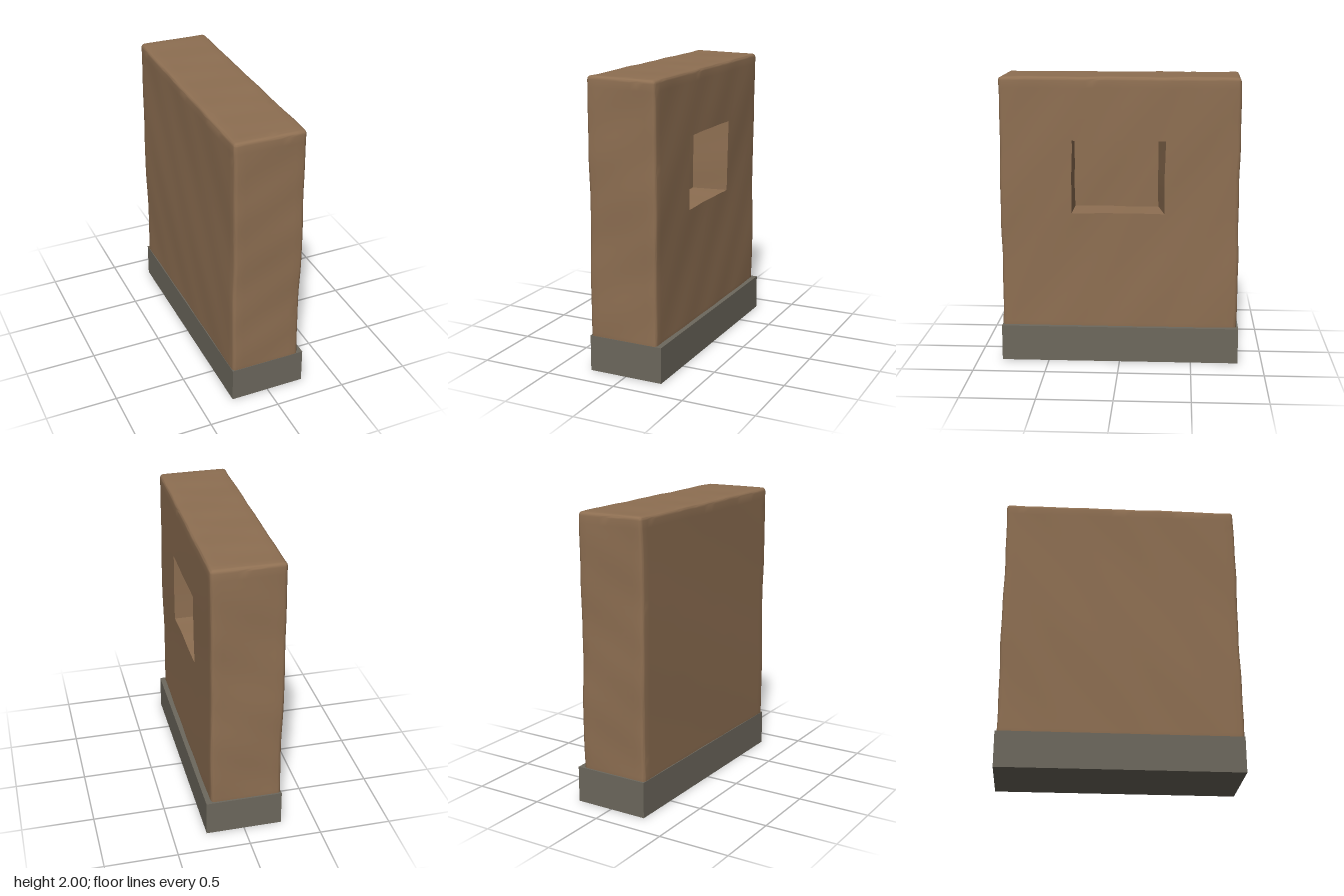
import * as THREE from 'three';
import { toCreasedNormals } from 'three/addons/utils/BufferGeometryUtils.js';

const earth = new THREE.MeshStandardMaterial({ color: 0x8e6f52 });
earth.name = 'earth brown';
const stone = new THREE.MeshStandardMaterial({ color: 0x6d685d });
stone.name = 'stone grey';

const MIN = new THREE.Vector3(-0.261, 0.2, -0.819);
const MAX = new THREE.Vector3(0.229, 1.996, 0.826);
const ROUND = 0.025;
const NICHE = { y: [1.06, 1.565], z: [-0.31, 0.33], depth: 0.25 };

// Evenly spaced values from a to b, both included
const span = (a, b, n) => Array.from({ length: n + 1 }, (_, i) => a + (b - a) * i / n);

// Grid lines between two edges, packed near the edges for rounding;
// the ends of the niche appear twice so its walls can fold inward
function gridLines(lo, hi, opening, step = 0.05) {
  const a = lo + ROUND, b = hi - ROUND;
  const count = (p, q) => Math.max(1, Math.round((q - p) / step));
  const middle = opening
    ? [
      ...span(a, opening[0], count(a, opening[0])),
      ...span(opening[0], opening[1], count(...opening)),
      ...span(opening[1], b, count(opening[1], b)),
    ]
    : span(a, b, count(a, b));
  const edge = [0, 0.3, 0.6].map((t) => t * ROUND);
  return [...edge.map((e) => lo + e), ...middle, ...edge.reverse().map((e) => hi - e)];
}

// Gentle hand-made unevenness
function wobble(p) {
  const { x, y, z } = p;
  p.x += 0.003 * Math.sin(4.5 * y - 5.5 + 2 * z) + 0.0015 * Math.sin(13 * z + 9 * y);
  p.y += 0.0015 * Math.sin(11 * z + 7 * x) + 0.001 * Math.sin(23 * z - 5 * x);
  p.z += 0.003 * Math.sin(6 * y + 5 * x) + 0.0015 * Math.sin(17 * y - 9 * x);
}

function wallGeometry() {
  const xs = gridLines(MIN.x, MAX.x);
  const ys = gridLines(MIN.y, MAX.y, NICHE.y);
  const zs = gridLines(MIN.z, MAX.z, NICHE.z);
  const nx = xs.length - 1, ny = ys.length - 1, nz = zs.length - 1;
  const geo = new THREE.BoxGeometry(1, 1, 1, nx, ny, nz);
  const pos = geo.attributes.position;
  const innerMin = MIN.clone().addScalar(ROUND);
  const innerMax = MAX.clone().subScalar(ROUND);
  const inside = (i, lines, [a, b]) => i > lines.indexOf(a) && i < lines.lastIndexOf(b);
  const p = new THREE.Vector3(), core = new THREE.Vector3();

  for (let v = 0; v < pos.count; v++) {
    const i = Math.round((pos.getX(v) + 0.5) * nx);
    const j = Math.round((pos.getY(v) + 0.5) * ny);
    const k = Math.round((pos.getZ(v) + 0.5) * nz);
    p.set(xs[i], ys[j], zs[k]);

    // Push the niche into the +x face, or round the outer edges
    if (i === nx && inside(j, ys, NICHE.y) && inside(k, zs, NICHE.z)) {
      p.x -= NICHE.depth;
    } else {
      core.copy(p).clamp(innerMin, innerMax);
      p.sub(core).setLength(ROUND).add(core);
    }
    wobble(p);
    pos.setXYZ(v, p.x, p.y, p.z);
  }
  return toCreasedNormals(geo, 0.8);
}

export function createModel() {
  const model = new THREE.Group();
  model.name = 'wallWithNiche';

  // Earthen wall with a rectangular niche
  const wall = new THREE.Mesh(wallGeometry(), earth);
  wall.name = 'wall';
  model.add(wall);

  // Stone footing, flush with the back of the wall
  const footing = new THREE.Mesh(new THREE.BoxGeometry(0.53, 0.25, 1.66), stone);
  footing.name = 'footing';
  footing.position.y = 0.125;
  model.add(footing);

  return model;
}
